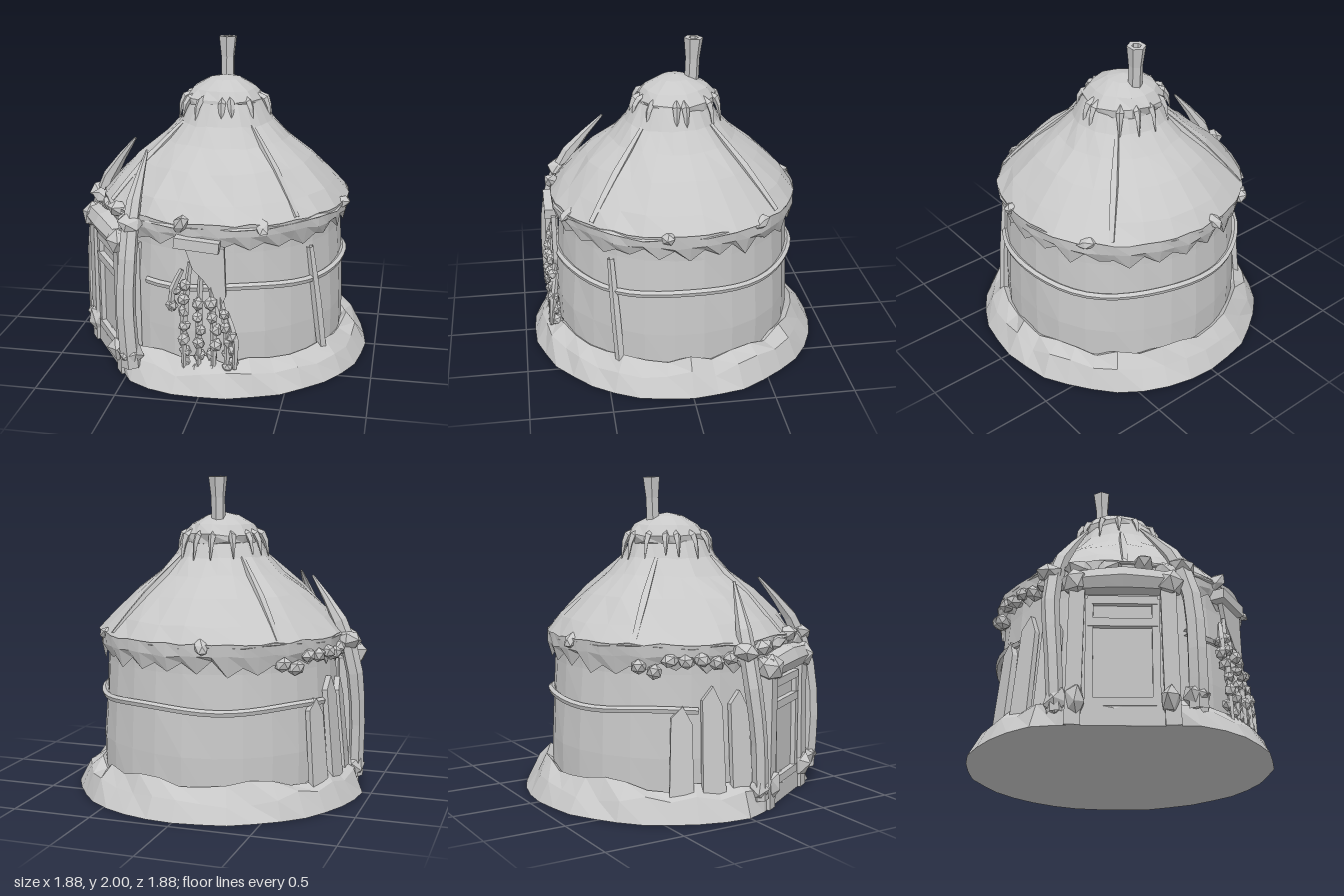
import * as THREE from 'three';

export function createModel() {
  const group = new THREE.Group();
  const clay = new THREE.MeshStandardMaterial({ color: 0xc8c8c8, flatShading: true, side: THREE.DoubleSide });
  clay.name = 'pale grey';

  let seed = 7;
  const rnd = () => { seed = (seed * 16807) % 2147483647; return seed / 2147483647 - 0.5; };
  const V = (x, y, z) => new THREE.Vector3(x, y, z);

  function add(name, geometry, parent = group) {
    const mesh = new THREE.Mesh(geometry, clay);
    mesh.name = name;
    parent.add(mesh);
    return mesh;
  }

  // Turned shell whose rows [radius, y, radius jitter, height jitter] are made uneven
  function shell(name, rows, segments, rule) {
    const g = new THREE.LatheGeometry(rows.map(r => new THREE.Vector2(r[0], r[1])), segments);
    const offsets = [];
    for (let i = 0; i < segments; i++) offsets.push(rows.map(() => [rnd(), rnd()]));
    const p = g.attributes.position;
    for (let i = 0; i <= segments; i++) rows.forEach((row, j) => {
      const o = offsets[i % segments][j], a = i / segments * Math.PI * 2;
      const r = row[0] + o[0] * (row[2] || 0);
      const v = V(r * Math.sin(a), row[1] + o[1] * (row[3] || 0), r * Math.cos(a));
      if (rule) rule(v, i, j);
      p.setXYZ(i * rows.length + j, v.x, v.y, v.z);
    });
    return add(name, g);
  }

  // Tapered bent limb: each station is [x, y, z, radius]
  function limb(name, stations, sides = 6, parent = group) {
    const curve = new THREE.CatmullRomCurve3(stations.map(s => V(s[0], s[1], s[2])));
    const n = (stations.length - 1) * 2;
    const g = new THREE.TubeGeometry(curve, n, 1, sides, false);
    const p = g.attributes.position;
    for (let i = 0; i <= n; i++) {
      const t = i / n, c = curve.getPointAt(t), u = curve.getUtoTmapping(t) * (stations.length - 1);
      const k = Math.min(Math.floor(u), stations.length - 2);
      const r = THREE.MathUtils.lerp(stations[k][3], stations[k + 1][3], u - k);
      for (let j = 0; j <= sides; j++) {
        const q = i * (sides + 1) + j;
        const v = V().fromBufferAttribute(p, q).sub(c).multiplyScalar(r).add(c);
        p.setXYZ(q, v.x, v.y, v.z);
      }
    }
    return add(name, g, parent);
  }

  function box(name, w, h, d, x, y, z, parent = group, tilt = 0) {
    const m = add(name, new THREE.BoxGeometry(w, h, d), parent);
    m.position.set(x, y, z);
    m.rotation.z = tilt;
    return m;
  }

  function lump(name, x, y, z, sx, sy, sz, parent = group) {
    const m = add(name, new THREE.IcosahedronGeometry(1, 0), parent);
    m.position.set(x, y, z);
    m.scale.set(sx, sy, sz);
    m.rotation.set(rnd(), rnd() * 3, rnd());
    return m;
  }

  // Earth mound, cut straight in front of the door
  const door = V(-0.84, 0, 0.54);
  shell('earthMound', [[0, 0], [0.94, 0, 0.015], [0.875, 0.12, 0.03, 0.06], [0.79, 0.19, 0.04, 0.07], [0.72, 0.13]], 36, v => {
    const over = v.x * door.x + v.z * door.z - 0.82;
    if (over > 0) v.addScaledVector(door, -over);
  });

  // Cloth wall, roof and ragged eave
  shell('wall', [[0.77, 0.05], [0.77, 0.35, 0.015], [0.755, 0.62, 0.01], [0.74, 0.85, 0.01], [0.74, 1.0]], 26);
  shell('roof', [[0.72, 0.97], [0.795, 1.02, 0.015, 0.03], [0.7, 1.13, 0.02, 0.02], [0.55, 1.275, 0.025, 0.02],
    [0.4, 1.395, 0.02, 0.02], [0.3, 1.5, 0.015, 0.015], [0.23, 1.63]], 26);
  shell('eaveFringe', [[0.757, 0.885, 0.015, 0.05], [0.785, 0.96, 0.012, 0.02], [0.79, 1.035, 0.01, 0.02]], 52,
    (v, i, j) => { if (j === 0) v.y += i % 2 ? -0.025 : 0.03; });

  // Roof cap with hanging thongs and smoke pipe
  const cap = shell('roofCap', [[0.2, 1.57], [0.245, 1.59, 0.03, 0.02], [0.25, 1.64, 0.02, 0.02], [0.2, 1.7, 0.02, 0.01],
    [0.1, 1.755, 0.01], [0, 1.775]], 14);
  cap.position.set(-0.01, 0, -0.02);
  for (let i = 0; i < 14; i++) {
    const a = i / 14 * Math.PI * 2 + rnd() * 0.3, s = Math.sin(a), c = Math.cos(a), l = 0.07 + (rnd() + 0.5) * 0.07;
    limb('capThong', [[s * 0.21 - 0.01, 1.66, c * 0.21 - 0.02, 0.015], [s * 0.26 - 0.01, 1.63, c * 0.26 - 0.02, 0.025],
      [s * 0.295 - 0.01, 1.6 - l, c * 0.295 - 0.02, 0.003]], 4);
  }
  const pipe = new THREE.LatheGeometry([[0.045, 0], [0.045, 0.2], [0.06, 0.33], [0.03, 0.33], [0.025, 0.27], [0, 0.27]]
    .map(p => new THREE.Vector2(...p)), 6);
  const pipeMesh = add('smokePipe', pipe);
  pipeMesh.position.set(-0.015, 1.67, -0.125);
  pipeMesh.rotation.x = -0.04;

  // Rope around the wall, open at the doorway
  const ropePoints = [];
  for (let i = 0; i <= 30; i++) {
    const a = -0.5 + i / 30 * 4.9;
    ropePoints.push(V(Math.sin(a) * 0.767, 0.635 + Math.sin(a * 5) * 0.012, Math.cos(a) * 0.767));
  }
  add('wallRope', new THREE.TubeGeometry(new THREE.CatmullRomCurve3(ropePoints), 40, 0.022, 5, false));

  // Side pole and roof seams
  limb('sidePole', [[0.69, 0.1, 0.42, 0.03], [0.65, 0.45, 0.44, 0.032], [0.6, 0.83, 0.46, 0.022]], 5);
  for (const a of [0.75, 2.4, 3.9, 5.3]) {
    const s = Math.sin(a), c = Math.cos(a);
    limb('roofFold', [[s * 0.29, 1.5, c * 0.29, 0.015], [s * 0.55, 1.265, c * 0.55, 0.03], [s * 0.77, 1.04, c * 0.77, 0.02]], 4);
  }

  // Doorway: frame, recessed panel, lintel roll and feet
  const doorway = new THREE.Group();
  doorway.name = 'doorway';
  doorway.position.set(-0.69, 0, 0.445);
  doorway.rotation.y = Math.atan2(door.x, door.z);
  group.add(doorway);
  box('doorPanel', 0.56, 0.84, 0.14, 0, 0.42, -0.1, doorway);
  for (const s of [-1, 1]) {
    box('doorPost', 0.09, 0.84, 0.14, s * 0.27, 0.42, -0.05, doorway, s * 0.02);
    box('innerPost', 0.045, 0.7, 0.04, s * 0.19, 0.42, -0.02, doorway);
    lump('postFoot', s * 0.27, 0.14, -0.01, 0.08, 0.11, 0.06, doorway);
    lump('lintelEnd', s * 0.27, 0.87, -0.01, 0.09, 0.09, 0.09, doorway);
  }
  for (const y of [0.14, 0.62, 0.76]) box('doorRail', 0.4, 0.05, 0.05, 0, y, -0.02, doorway);
  limb('lintelRoll', [[-0.31, 0.87, -0.02, 0.07], [0, 0.89, -0.01, 0.085], [0.31, 0.87, -0.02, 0.07]], 7, doorway);
  for (const x of [-0.25, -0.08, 0.12, 0.26]) lump('eaveBundle', x, 1.0 + rnd() * 0.04, -0.07, 0.1, 0.055, 0.07, doorway);

  // Two tusks flanking the doorway, with bindings
  limb('frontTusk', [[-0.45, 0.1, 0.79, 0.062], [-0.47, 0.45, 0.8, 0.06], [-0.46, 0.8, 0.77, 0.058],
    [-0.45, 1.08, 0.66, 0.05], [-0.42, 1.37, 0.41, 0.008]]);
  limb('sideTusk', [[-0.87, 0.08, 0.12, 0.05], [-0.88, 0.45, 0.1, 0.05], [-0.86, 0.8, 0.06, 0.055],
    [-0.77, 1.08, 0.06, 0.05], [-0.57, 1.37, 0.12, 0.008]]);
  lump('tuskFoot', -0.455, 0.18, 0.78, 0.085, 0.075, 0.085);
  lump('tuskBinding', -0.455, 1.0, 0.71, 0.08, 0.05, 0.09);
  lump('tuskFoot', -0.86, 0.15, 0.12, 0.07, 0.09, 0.08);
  lump('tuskBinding', -0.83, 0.98, 0.03, 0.09, 0.06, 0.09);

  // Planks leaning on the side wall beside the doorway
  const plank = new THREE.Shape([[-0.075, 0], [0.075, 0], [0.065, 0.62], [0.01, 0.74], [-0.06, 0.66]].map(p => new THREE.Vector2(...p)));
  for (const [a, h] of [[-1.55, 0.95], [-1.78, 1.0], [-2.02, 0.85]]) {
    const m = add('leaningPlank', new THREE.ExtrudeGeometry(plank, { depth: 0.035, bevelEnabled: false }));
    m.rotation.order = 'YXZ';
    m.rotation.set(-0.1, a, 0);
    m.scale.y = h;
    m.position.set(Math.sin(a) * 0.815, 0.04, Math.cos(a) * 0.815);
  }
  for (let i = 0; i < 8; i++) {
    const a = -1.5 - i * 0.12;
    lump('sideBundle', Math.sin(a) * 0.78, 0.9 + rnd() * 0.1, Math.cos(a) * 0.78, 0.06, 0.045, 0.05);
  }

  // Front charm hanging: bar, cloth strip, strands and knots
  box('charmBar', 0.27, 0.065, 0.09, -0.03, 0.92, 0.79, group, -0.08);
  const cloth = new THREE.Shape([[-0.11, 0.9], [0.13, 0.9], [0.14, 0.6], [0.1, 0.5], [0.06, 0.62], [0, 0.7], [-0.06, 0.76]]
    .map(p => new THREE.Vector2(...p)));
  add('charmCloth', new THREE.ExtrudeGeometry(cloth, { depth: 0.03, bevelEnabled: false })).position.z = 0.765;
  [[-0.18, 0.5, 0.75], [-0.11, 0.12, 0.8], [-0.02, 0.1, 0.72], [0.07, 0.1, 0.66], [0.15, 0.12, 0.6], [0.2, 0.15, 0.5]].forEach(([x, low, high]) => {
    limb('charmStrand', [[x * 0.7, high, 0.78, 0.015], [x, (low + high) / 2, 0.81, 0.022], [x, low, 0.83, 0.012]], 4);
    for (let y = low + 0.03; y < high - 0.1; y += 0.085)
      lump('charmKnot', x + rnd() * 0.04, y, 0.815 + rnd() * 0.04 - Math.abs(x) * 0.1, 0.042, 0.038 + rnd() * 0.02, 0.035);
  });

  // Patches and knots along the eave
  for (const [x, y, a] of [[0.1, 0.05, -0.18], [0.08, 0.03, 0.45], [0.06, 0.04, 1.4], [0.07, 0.04, 2.2], [0.07, 0.04, 3.3]])
    lump('eaveKnot', Math.sin(a) * 0.77, 1.02, Math.cos(a) * 0.77, x, y, 0.045);

  return group;
}
